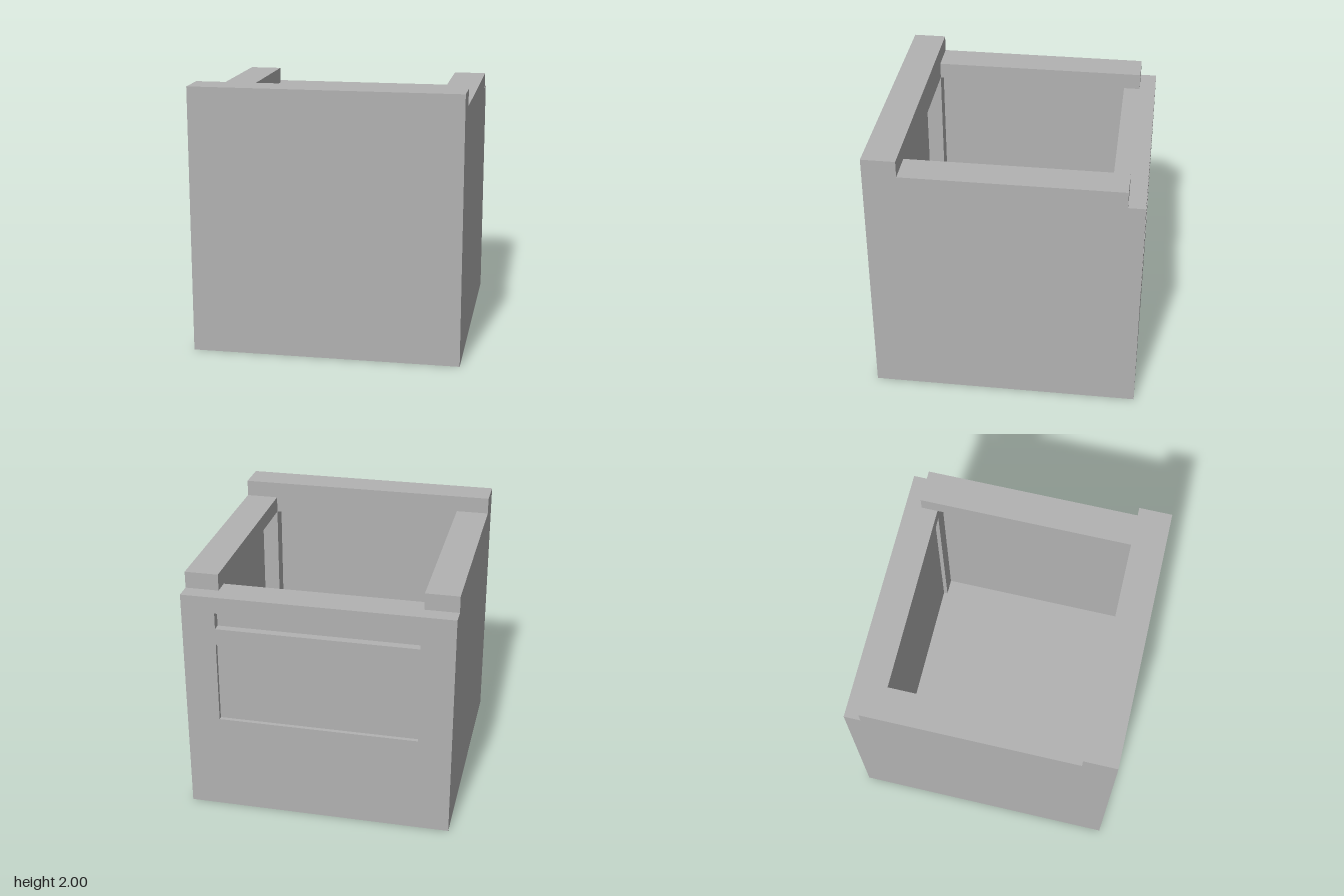
import * as THREE from 'three';

const body = new THREE.MeshStandardMaterial({ color: 0xb2b2b2 });
body.name = 'plain grey';

// Box given by its lower and upper limits on each axis
function block(name, [x0, x1], [y0, y1], [z0, z1]) {
  const mesh = new THREE.Mesh(new THREE.BoxGeometry(x1 - x0, y1 - y0, z1 - z0), body);
  mesh.position.set((x0 + x1) / 2, (y0 + y1) / 2, (z0 + z1) / 2);
  mesh.name = name;
  return mesh;
}

// Sheet across the back with rectangular openings, each [bottom, top]
function backSheet(name, z0, z1, openings) {
  const rect = (path, x, y0, y1) => path.moveTo(-x, y0).lineTo(x, y0).lineTo(x, y1).lineTo(-x, y1).closePath();
  const shape = new THREE.Shape();
  rect(shape, 1, 0, 1.75);
  for (const [y0, y1] of openings) {
    const hole = new THREE.Path();
    rect(hole, 0.75, y0, y1);
    shape.holes.push(hole);
  }
  const mesh = new THREE.Mesh(new THREE.ExtrudeGeometry(shape, { depth: z1 - z0, bevelEnabled: false }), body);
  mesh.position.z = z0;
  mesh.name = name;
  return mesh;
}

export function createModel() {
  const group = new THREE.Group();
  group.name = 'openBox';
  const slot = [1.5, 1.625], panel = [0.75, 1.375];
  const coreZ = -0.9375, recessZ = -0.78125;

  // Floor and front
  group.add(
    block('floor', [-0.875, 0.875], [0, 0.125], [coreZ, 0.875]),
    block('frontWall', [-1, 1], [0, 2], [0.875, 1]),
    block('frontBeam', [-1, 1], [1.75, 2], [0.75, 0.875]),
  );

  // Back wall: slot twice as deep as the panel recess, shallow recess inside
  group.add(
    backSheet('backOuterSheet', -1, -0.96875, [slot, panel]),
    backSheet('backMiddleSheet', -0.96875, coreZ, [slot]),
    block('backCore', [-0.875, 0.875], [0.125, 1.75], [coreZ, recessZ]),
    block('backInnerRim', [-0.875, 0.875], [1.625, 1.75], [recessZ, -0.75]),
  );

  // Sides, overhanging top beams and inner corner posts
  for (const s of [-1, 1]) {
    const side = s > 0 ? 'left' : 'right';
    const span = (a, b) => (s > 0 ? [a, b] : [-b, -a]);
    group.add(
      block(side + 'Wall', span(0.875, 1), [0, 1.75], [coreZ, 0.875]),
      block(side + 'Beam', span(0.75, 1), [1.75, 1.875], [-0.875, 0.75]),
      block(side + 'FrontPost', span(0.75, 0.875), [0.125, 1.75], [0.75, 0.875]),
      block(side + 'BackPost', span(0.75, 0.875), [0.125, 1.625], [recessZ, -0.75]),
    );
  }
  return group;
}
